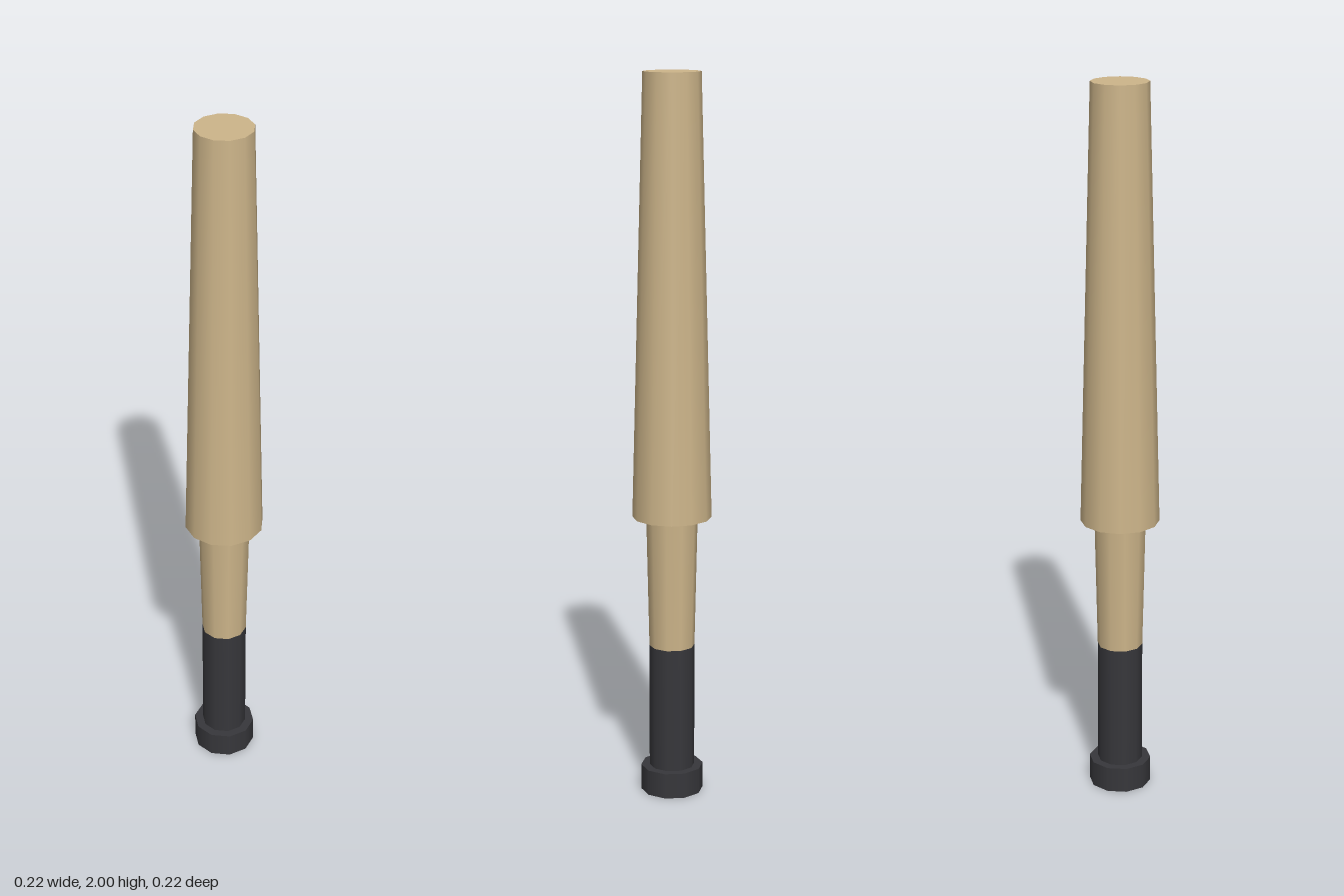
import * as THREE from 'three';

export function createModel() {
  const group = new THREE.Group();
  group.name = 'club';

  const wood = new THREE.MeshStandardMaterial({ color: 0xcdb58a });
  wood.name = 'pale wood';
  const wrap = new THREE.MeshStandardMaterial({ color: 0x37373b });
  wrap.name = 'dark grip';

  // Upright tapered section between two heights
  function section(name, material, y0, y1, r0, r1, sides) {
    const mesh = new THREE.Mesh(new THREE.CylinderGeometry(r1, r0, y1 - y0, sides), material);
    mesh.position.y = (y0 + y1) / 2;
    mesh.name = name;
    group.add(mesh);
  }

  section('pommel', wrap, 0, 0.072, 0.087, 0.087, 10);
  section('grip', wrap, 0.072, 0.424, 0.063, 0.063, 10);
  section('neck', wood, 0.424, 0.793, 0.063, 0.071, 10);
  section('barrel', wood, 0.793, 2, 0.109, 0.078, 12);

  return group;
}
